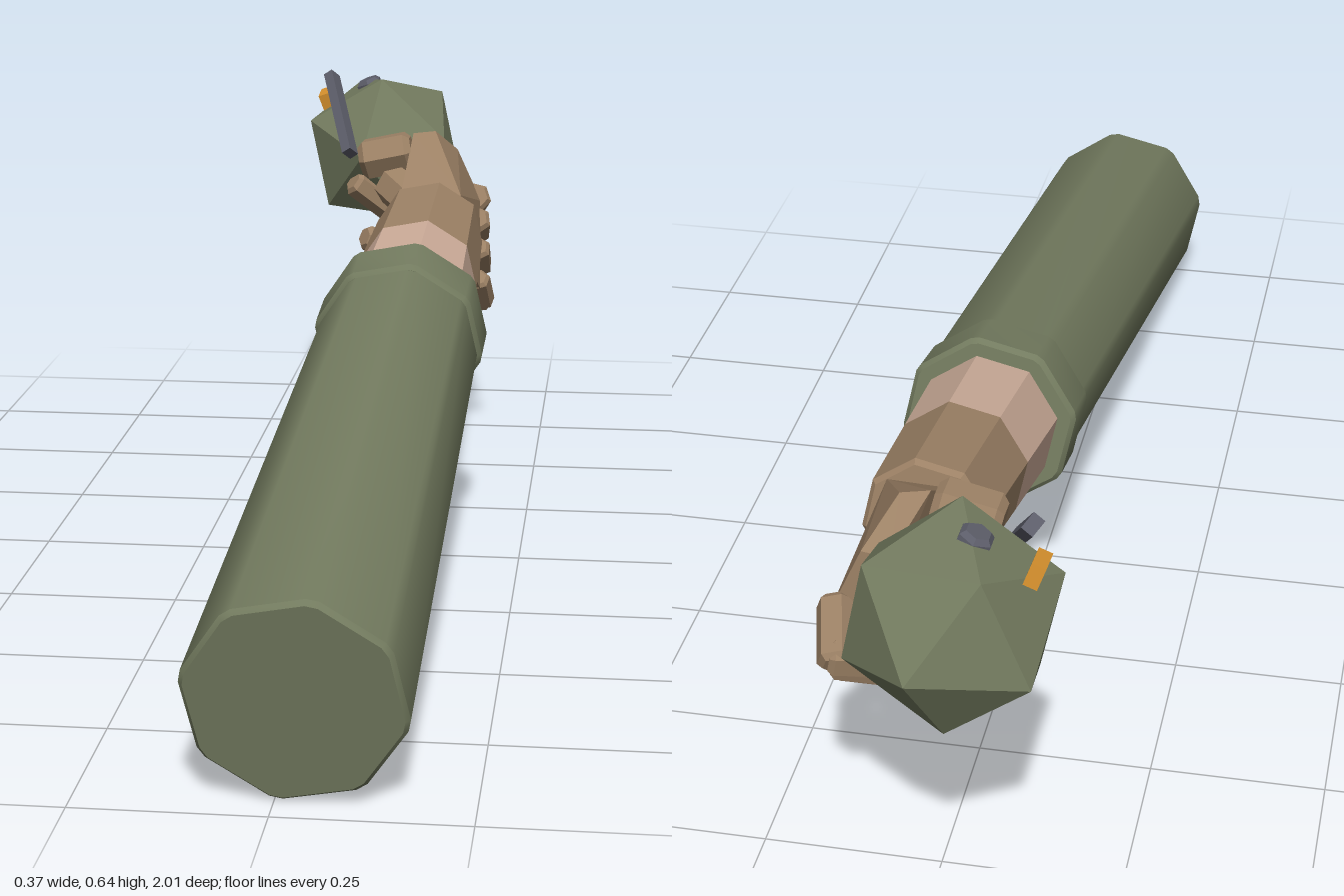
import * as THREE from 'three';
import { toCreasedNormals } from 'three/addons/utils/BufferGeometryUtils.js';
import { ConvexGeometry } from 'three/addons/geometries/ConvexGeometry.js';

const V = (x, y, z) => new THREE.Vector3(x, y, z);

function material(name, color) {
  const m = new THREE.MeshStandardMaterial({ color });
  m.name = name;
  return m;
}

function mesh(name, geometry, mat) {
  const m = new THREE.Mesh(geometry, mat);
  m.name = name;
  return m;
}

// Eight-sided tube along -z; rings are [distance, radius], bevel is the half angle of each rounded corner
function octTube(rings, bevel = 0) {
  const loops = rings.map(([t, r]) => {
    const loop = [];
    for (let k = 0; k < 8; k++) {
      const a = THREE.MathUtils.degToRad(34 + 45 * k);
      for (const d of bevel ? [-bevel, bevel] : [0]) {
        loop.push(V(r * Math.cos(a + d), r * Math.sin(a + d), -t));
      }
    }
    return loop;
  });
  const pts = [];
  for (let i = 0; i < loops.length - 1; i++) {
    const n = loops[i].length;
    for (let k = 0; k < n; k++) {
      const j = (k + 1) % n;
      const a = loops[i][k], b = loops[i][j], c = loops[i + 1][j], d = loops[i + 1][k];
      pts.push(a, d, c, a, c, b);
    }
  }
  const g = new THREE.BufferGeometry().setFromPoints(pts);
  g.computeVertexNormals();
  return bevel ? toCreasedNormals(g, 0.5) : g;
}

// Faceted six-sided segment with chamfered ends from p to q
function segment(name, p, q, r, mat) {
  const dir = q.clone().sub(p), L = dir.length(), c = 0.28 * r;
  const profile = [[0, 0], [r - c, 0], [r, c], [r, L - c], [r - c, L], [0, L]]
    .map(([x, y]) => new THREE.Vector2(x, y));
  const g = new THREE.LatheGeometry(profile, 6).toNonIndexed();
  g.computeVertexNormals();
  const m = mesh(name, g, mat);
  m.position.copy(p);
  m.quaternion.setFromUnitVectors(V(0, 1, 0), dir.normalize());
  return m;
}

export function createModel() {
  const root = new THREE.Group();
  root.name = 'armWithGrenade';
  const green = material('olive green', 0x737b5f);
  const skin = material('skin', 0xcbab98);
  const brown = material('glove brown', 0x9c8165);
  const grey = material('dark steel', 0x5c5d69);
  const orange = material('orange', 0xd8922e);

  // Arm: sleeve, cuff, bare forearm and glove wrist on one tilted axis
  const arm = new THREE.Group();
  arm.name = 'arm';
  const start = V(0.028, 0.141, 0.977), wrist = V(0.063, 0.413, -0.54);
  arm.position.copy(start);
  arm.lookAt(start.clone().multiplyScalar(2).sub(wrist));
  arm.add(
    mesh('sleeve', octTube([[0, 0], [0, 0.137], [0.007, 0.143], [1.1, 0.125], [1.1, 0]], 0.06), green),
    mesh('cuff', octTube([[1.06, 0], [1.06, 0.126], [1.068, 0.133], [1.152, 0.133],
      [1.16, 0.126], [1.16, 0]], 0.05), green),
    mesh('forearm', octTube([[1.14, 0], [1.14, 0.108], [1.335, 0.1], [1.335, 0]]), skin),
    mesh('gloveWrist', octTube([[1.335, 0], [1.335, 0.1], [1.532, 0.092], [1.54, 0.085], [1.54, 0]]), brown),
  );
  root.add(arm);

  // Gloved hand
  const hand = new THREE.Group();
  hand.name = 'hand';
  const palm = new ConvexGeometry([
    V(0.115, 0.475, -0.535), V(0.01, 0.47, -0.535), V(0.135, 0.34, -0.545), V(0.03, 0.34, -0.55),
    V(0.145, 0.295, -0.61), V(0.065, 0.3, -0.615),
    V(0.058, 0.56, -0.69), V(0.02, 0.558, -0.675),
    V(0.092, 0.515, -0.765), V(0.055, 0.51, -0.765),
    V(0.135, 0.42, -0.77), V(0.07, 0.415, -0.77),
  ]);
  hand.add(mesh('palm', palm, brown));

  // Fingers from index to little: knuckle, middle joint, last joint, tip
  const fingers = [
    [V(0.125, 0.425, -0.77), V(0.11, 0.395, -0.83), V(0, 0.375, -0.785), V(-0.085, 0.45, -0.74)],
    [V(0.13, 0.39, -0.735), V(0.125, 0.36, -0.785), V(0, 0.33, -0.745), V(-0.06, 0.36, -0.7)],
    [V(0.135, 0.345, -0.695), V(0.135, 0.31, -0.735), V(0.01, 0.285, -0.7), V(-0.05, 0.305, -0.655)],
    [V(0.14, 0.3, -0.64), V(0.145, 0.26, -0.675), V(0.02, 0.245, -0.655), V(-0.035, 0.26, -0.615)],
  ];
  fingers.forEach((joints, f) => {
    const finger = new THREE.Group();
    finger.name = 'finger' + (f + 1);
    const r = 0.028 - f * 0.002;
    for (let i = 0; i < 3; i++) {
      const dir = joints[i + 1].clone().sub(joints[i]).setLength(r * 0.5);
      finger.add(segment('fingerSegment', joints[i].clone().sub(dir), joints[i + 1].clone().add(dir),
        r * (1 - i * 0.06), brown));
    }
    hand.add(finger);
  });

  // Thumb
  hand.add(
    segment('thumbBase', V(0.045, 0.44, -0.56), V(-0.02, 0.475, -0.645), 0.036, brown),
    segment('thumbTip', V(0.02, 0.53, -0.66), V(-0.072, 0.51, -0.662), 0.038, brown),
  );
  root.add(hand);

  // Grenade: a turned icosahedron with lever, cap and pin
  const grenade = new THREE.Group();
  grenade.name = 'grenade';
  grenade.position.set(-0.048, 0.499, -0.857);
  const body = mesh('grenadeBody', new THREE.IcosahedronGeometry(0.15, 0), green);
  const bx = V(-0.916, -0.172, 0.363).normalize();
  const by = V(-0.189, 0.977, -0.095).cross(bx).normalize();
  body.quaternion.setFromRotationMatrix(new THREE.Matrix4().makeBasis(bx, by, bx.clone().cross(by)));
  grenade.add(body);

  const lever = mesh('lever', new THREE.BoxGeometry(0.018, 0.19, 0.025), grey);
  const along = V(-0.26, 0.63, -0.73).normalize();
  const side = along.clone().cross(V(-0.5, 0.53, 0.68)).normalize();
  lever.quaternion.setFromRotationMatrix(new THREE.Matrix4().makeBasis(side, along, side.clone().cross(along)));
  lever.position.set(-0.073, 0.076, 0.087);
  grenade.add(lever);

  grenade.add(segment('fuseCap', V(-0.015, 0.08, 0), V(-0.034, 0.128, 0.002), 0.024, grey));

  const pin = mesh('pin', new THREE.BoxGeometry(0.019, 0.032, 0.045), orange);
  pin.position.set(-0.108, 0.088, -0.006);
  pin.rotation.set(0.15, 0, 0.35);
  grenade.add(pin);
  root.add(grenade);

  return root;
}
